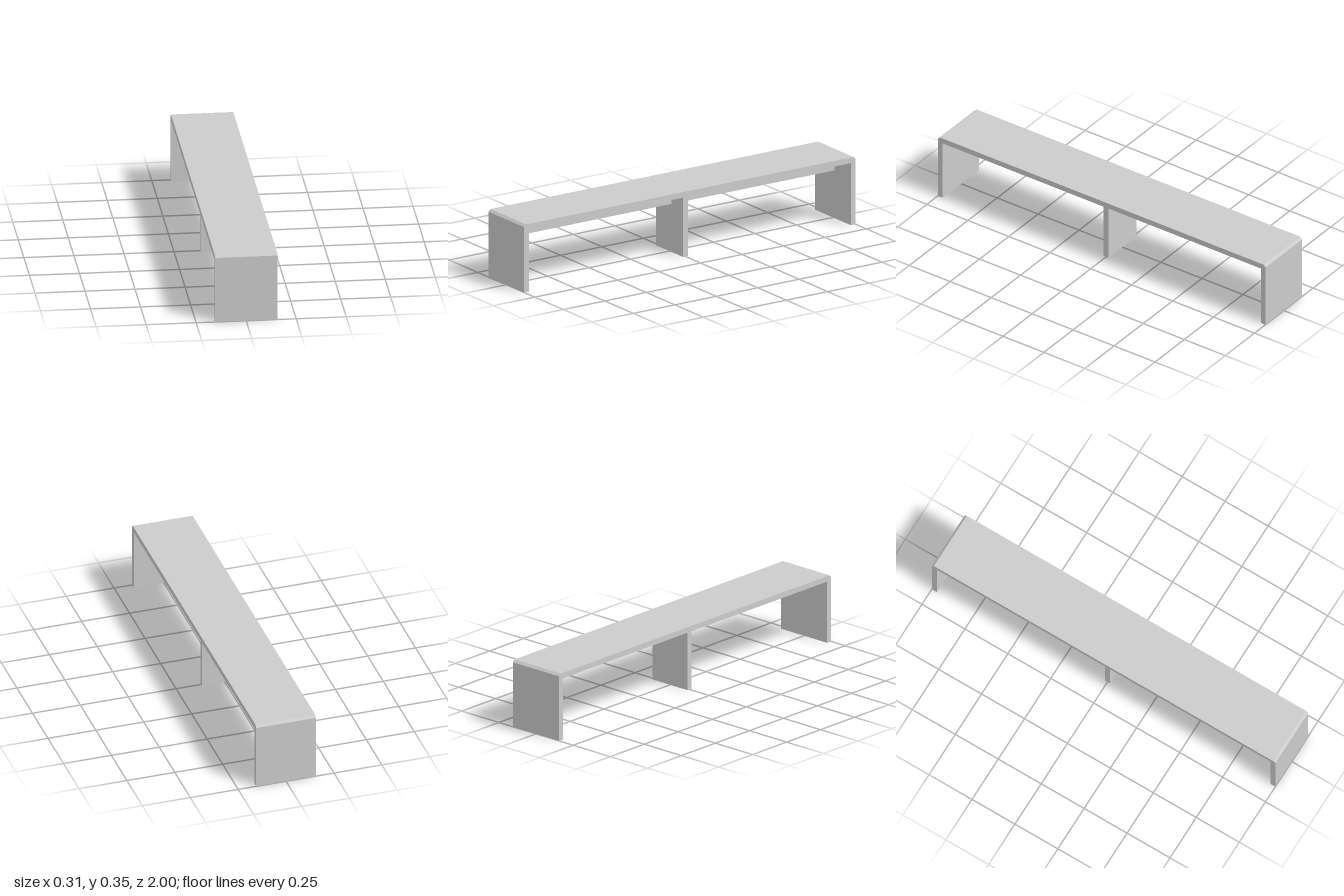
import * as THREE from 'three';

const W = 0.312; // bench width (x)
const H = 0.352; // bench height
const T = 0.029; // panel thickness
const C = 0.012; // corner chamfer
const UNDER = H - T; // underside of the seat

const material = new THREE.MeshStandardMaterial({ color: 0xcccccc, flatShading: true });

function addMesh(group, name, geometry, x = 0, y = 0, z = 0) {
  const mesh = new THREE.Mesh(geometry, material);
  mesh.name = name;
  mesh.position.set(x, y, z);
  group.add(mesh);
}

export function createModel() {
  const bench = new THREE.Group();
  bench.name = 'bench';

  // Seat and end panels: one continuous frame profile with chamfered outer corners
  const profile = new THREE.Shape([
    [-1, 0], [-1 + T, 0], [-1 + T, UNDER], [1 - T, UNDER], [1 - T, 0], [1, 0],
    [1, H - C], [1 - C, H], [-1 + C, H], [-1, H - C],
  ].map(([z, y]) => new THREE.Vector2(z, y)));
  const frame = new THREE.ExtrudeGeometry(profile, { depth: W, bevelEnabled: false });
  frame.translate(0, 0, -W / 2).rotateY(-Math.PI / 2);
  addMesh(bench, 'seatAndEndPanels', frame);

  // Narrower leg in the middle
  addMesh(bench, 'middleLeg', new THREE.BoxGeometry(0.237, UNDER, T), 0, UNDER / 2, 0);

  // Stiffening rails under the seat, either side of the middle leg
  const bottom = 0.249;
  const length = 1 - T * 1.5;
  for (const side of [1, -1]) {
    addMesh(bench, side > 0 ? 'frontRail' : 'backRail',
      new THREE.BoxGeometry(T, UNDER - bottom, length),
      0, (UNDER + bottom) / 2, side * (T / 2 + length / 2));
  }

  return bench;
}
